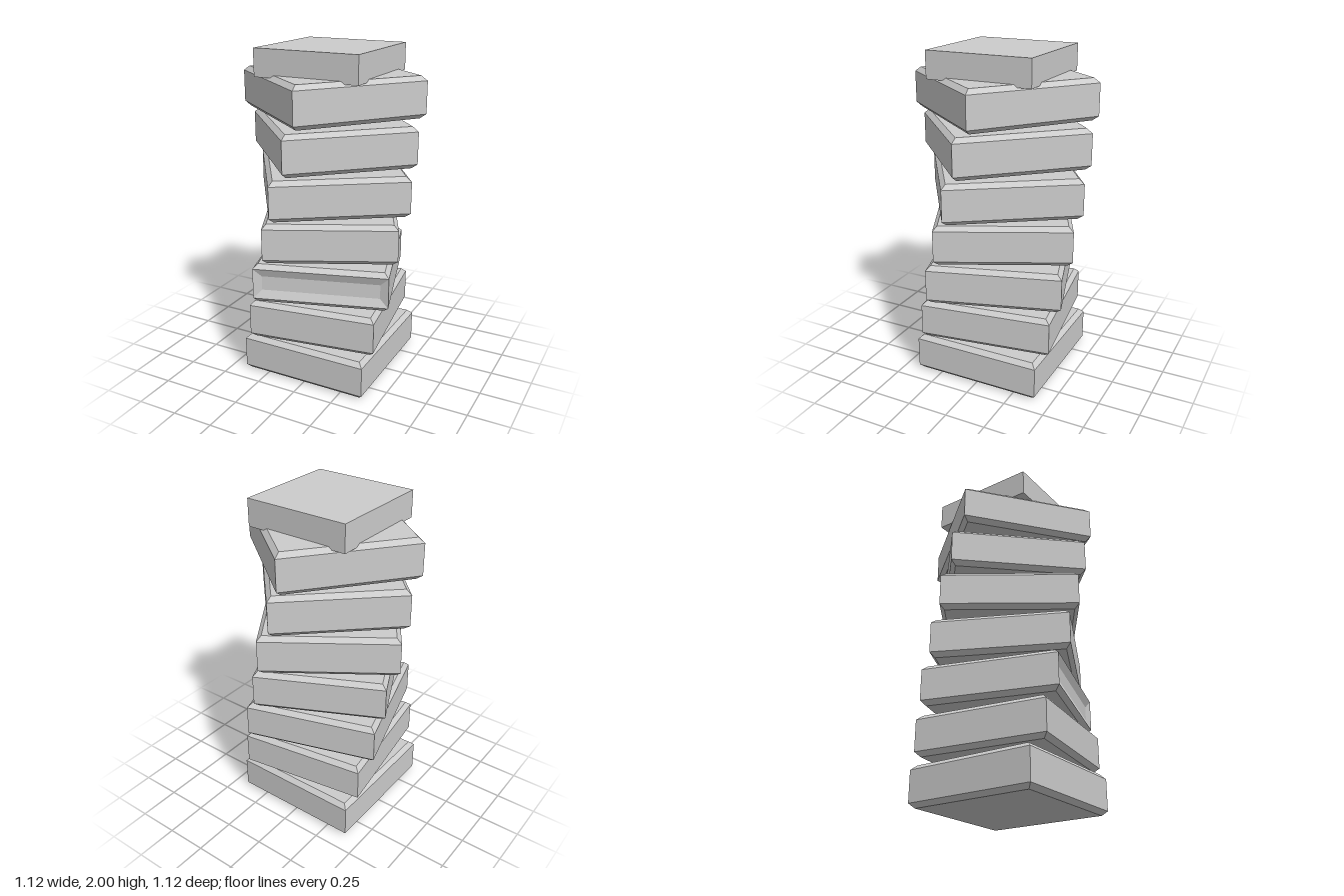
import * as THREE from 'three';

const HALF = 0.4, HEIGHT = 0.24, BEVEL = 0.027, PITCH = 0.2693;
const TWIST = THREE.MathUtils.degToRad(60 / 7);

// Give every face its own flat normal
function flat(geometry) {
  const g = geometry.index ? geometry.toNonIndexed() : geometry;
  g.computeVertexNormals();
  return g;
}

// Square ring(s) following a [half width, height] profile; three sides leave the front open
function squareLathe(profile, sides = 4) {
  const points = profile.map(([r, y]) => new THREE.Vector2(r * Math.SQRT2, y));
  return flat(new THREE.LatheGeometry(points, sides, Math.PI / 4, sides * Math.PI / 2));
}

// Shallow sunken panel: a sloped frame around a flat inner rectangle
function sunkenPanel(inset, depth) {
  const loop = (d, z) => [
    [-HALF + d, BEVEL + d, z], [HALF - d, BEVEL + d, z],
    [HALF - d, HEIGHT - BEVEL - d, z], [-HALF + d, HEIGHT - BEVEL - d, z],
  ];
  const outer = loop(0, HALF), inner = loop(inset, HALF - depth);
  const positions = [];
  const quad = (a, b, c, d) => positions.push(...[a, b, c, a, c, d].flat());
  for (let i = 0; i < 4; i++) {
    const j = (i + 1) % 4;
    quad(outer[i], outer[j], inner[j], inner[i]);
  }
  quad(...inner);
  const g = new THREE.BufferGeometry();
  g.setAttribute('position', new THREE.Float32BufferAttribute(positions, 3));
  return flat(g);
}

export function createModel() {
  const model = new THREE.Group();
  model.name = 'twistedTower';
  const stone = new THREE.MeshStandardMaterial({ color: 0xcccccc });
  stone.name = 'light grey';

  const add = (parent, name, geometry) => {
    const mesh = new THREE.Mesh(geometry, stone);
    mesh.name = name;
    parent.add(mesh);
    return mesh;
  };

  const top = HEIGHT - BEVEL, small = HALF - BEVEL;
  const base = squareLathe([[0, 0], [small, 0], [HALF, BEVEL]]);
  const lid = squareLathe([[HALF, top], [small, HEIGHT], [0, HEIGHT]]);
  const wall = [[HALF, BEVEL], [HALF, top]];

  // Seven bevelled slabs, each turned a little further; every other one is slightly narrower
  for (let i = 0; i < 7; i++) {
    const slab = new THREE.Group();
    slab.name = `slab${i + 1}`;
    const hasPanel = i === 2;
    add(slab, 'slabBase', base);
    add(slab, 'slabWalls', squareLathe(wall, hasPanel ? 3 : 4));
    add(slab, 'slabTop', lid);
    if (hasPanel) add(slab, 'sunkenPanel', sunkenPanel(0.05, 0.02));
    slab.position.y = i * PITCH;
    slab.rotation.y = i * TWIST;
    slab.scale.x = i % 2 ? 0.97 : 1;
    model.add(slab);
  }

  // Plain square block on top
  add(model, 'capBlock', new THREE.BoxGeometry(0.645, 0.16, 0.645)).position.y = 1.92;

  return model;
}
